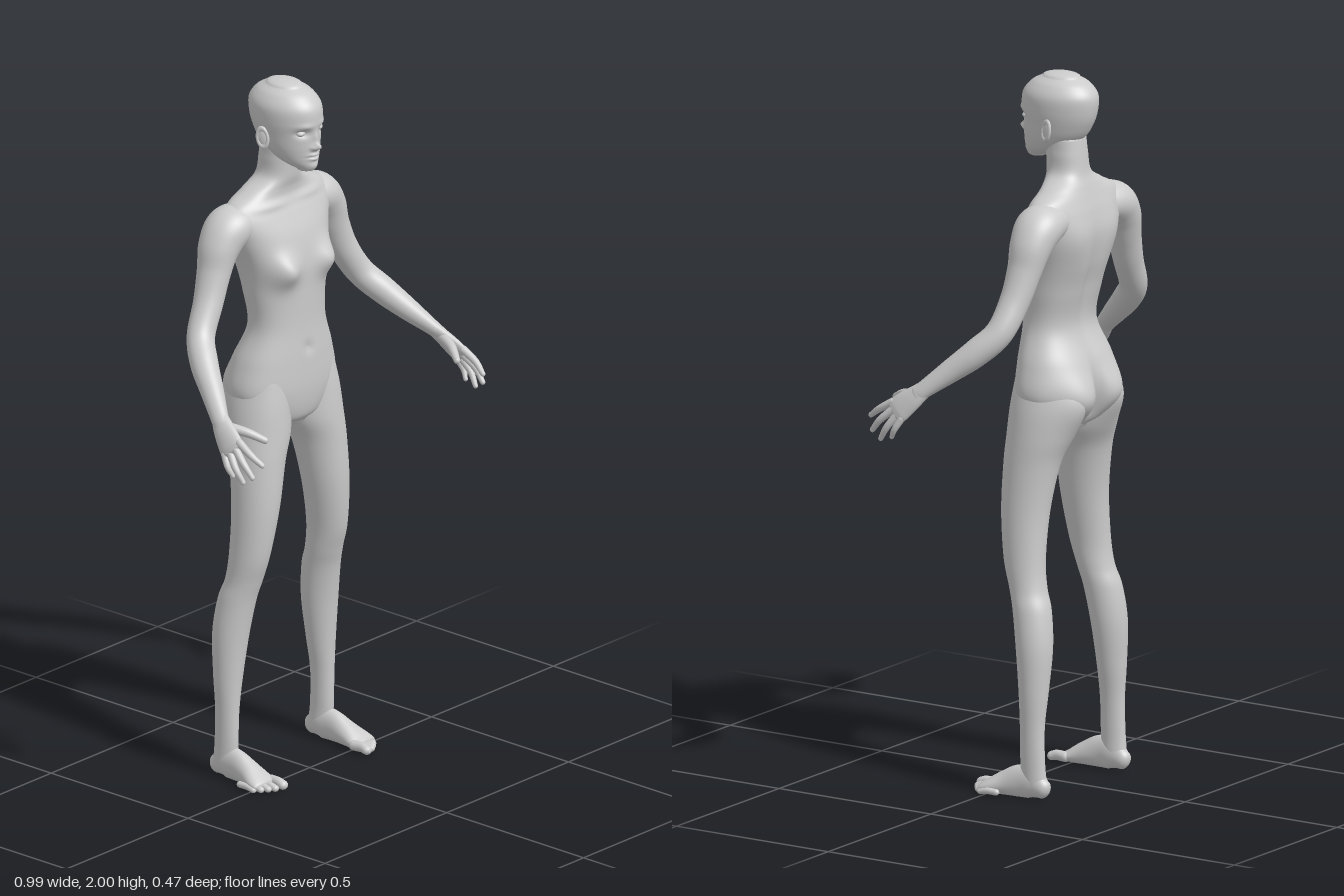
import * as THREE from 'three';
import { mergeVertices } from 'three/addons/utils/BufferGeometryUtils.js';

const skin = new THREE.MeshStandardMaterial({ color: 0xcccccc, roughness: 0.8 });
const X = new THREE.Vector3(1, 0, 0), Y = new THREE.Vector3(0, 1, 0), Z = new THREE.Vector3(0, 0, 1);

// Smooth skin over sections [x, y, z, radius along ref, radius across], with domed ends.
// level keeps every section horizontal (list those from the bottom up).
function loft(stations, { ref = X, level = false, segs = 24, steps = 6, power = 2, caps = [1, 1], sculpt } = {}) {
  const curve = (f) => new THREE.CatmullRomCurve3(stations.map(f), false, 'catmullrom', 0.5);
  const centre = curve((s) => new THREE.Vector3(s[0], s[1], s[2]));
  const radii = curve((s) => new THREE.Vector3(s[3], s[4], 0));
  const rings = [], n = (stations.length - 1) * steps, domeSteps = 6;
  const ring = (t, angle, dir) => {
    const r = radii.getPoint(t), T = level ? Y : centre.getTangent(t);
    const height = Math.min(r.x, r.y) * caps[dir > 0 ? 1 : 0];
    const c = centre.getPoint(t).addScaledVector(T, dir * height * Math.sin(angle));
    rings.push({ c, T, r: r.multiplyScalar(Math.max(0, Math.cos(angle))) });
  };
  for (let i = domeSteps; i > 0; i--) ring(0, (i / domeSteps) * Math.PI / 2, -1);
  for (let i = 0; i <= n; i++) ring(i / n, 0, 0);
  for (let i = 1; i <= domeSteps; i++) ring(1, (i / domeSteps) * Math.PI / 2, 1);

  const pos = [], index = [];
  const round = (v) => Math.sign(v) * Math.abs(v) ** (2 / power);
  rings.forEach(({ c, T, r }, i) => {
    const u = ref.clone().addScaledVector(T, -T.dot(ref)).normalize();
    const v = T.clone().cross(u);
    for (let j = 0; j < segs; j++) {
      const a = (j / segs) * Math.PI * 2;
      const p = c.clone().addScaledVector(u, r.x * round(Math.cos(a))).addScaledVector(v, r.y * round(Math.sin(a)));
      if (sculpt) sculpt(p);
      pos.push(p.x, p.y, p.z);
      if (i === 0) continue;
      const k = (j + 1) % segs, lo = (i - 1) * segs, hi = i * segs;
      index.push(lo + j, lo + k, hi + j, lo + k, hi + k, hi + j);
    }
  });
  let geo = new THREE.BufferGeometry();
  geo.setAttribute('position', new THREE.Float32BufferAttribute(pos, 3));
  geo.setIndex(index);
  geo = mergeVertices(geo, 1e-5);
  geo.computeVertexNormals();
  return geo;
}

// Soft bumps [x, y, z, reach x, reach y, reach z, push in z], alike on both sides
const bumps = (list) => (p) => {
  let dz = 0;
  for (const [x, y, z, rx, ry, rz, push] of list) {
    dz += push * Math.exp(-(((Math.abs(p.x) - x) / rx) ** 2) - ((p.y - y) / ry) ** 2 - ((p.z - z) / rz) ** 2);
  }
  p.z += dz;
};

function mirrored(geo) {
  const g = geo.clone().scale(-1, 1, 1), idx = g.index.array;
  for (let i = 0; i < idx.length; i += 3) [idx[i], idx[i + 1]] = [idx[i + 1], idx[i]];
  g.computeVertexNormals();
  return g;
}

export function createModel() {
  const model = new THREE.Group();
  model.name = 'figure';
  const add = (name, geo) => {
    const mesh = new THREE.Mesh(geo, skin);
    mesh.name = name;
    model.add(mesh);
  };
  const addPair = (name, geo) => {
    add('left' + name, geo);
    add('right' + name, mirrored(geo));
  };

  const bodyShape = bumps([
    [0.088, 1.475, -0.01, 0.045, 0.045, 0.06, 0.036],  // breasts
    [0.08, 1.095, -0.2, 0.07, 0.08, 0.07, -0.036],     // buttocks
    [0, 1.08, -0.21, 0.018, 0.08, 0.06, 0.035],        // cleft
    [0, 1.4, -0.2, 0.025, 0.17, 0.06, 0.014],          // spine
    [0.09, 1.55, -0.2, 0.05, 0.07, 0.05, -0.008],      // shoulder blades
    [0, 1.235, 0, 0.012, 0.014, 0.05, -0.008],         // navel
    [0.08, 1.655, -0.06, 0.07, 0.012, 0.04, 0.006],    // collarbones
  ]);

  // Torso and neck
  add('torso', loft([
    [0, 1.01, -0.095, 0.06, 0.06],
    [0, 1.04, -0.097, 0.125, 0.085],
    [0, 1.11, -0.104, 0.178, 0.104],
    [0, 1.2, -0.1, 0.162, 0.1],
    [0, 1.3, -0.086, 0.125, 0.081],
    [0, 1.4, -0.095, 0.13, 0.09],
    [0, 1.48, -0.106, 0.143, 0.1],
    [0, 1.56, -0.118, 0.17, 0.097],
    [0, 1.62, -0.126, 0.192, 0.08],
    [0, 1.66, -0.13, 0.175, 0.064],
    [0, 1.69, -0.126, 0.118, 0.058],
    [0, 1.725, -0.116, 0.064, 0.056],
    [0, 1.78, -0.11, 0.056, 0.055],
    [0, 1.82, -0.105, 0.055, 0.055],
  ], { level: true, segs: 80, steps: 9, power: 2.25, caps: [0.3, 0.2], sculpt: bodyShape }));

  // Head with a sculpted face
  add('head', loft([
    [0, 1.762, -0.016, 0.026, 0.026],
    [0, 1.785, -0.045, 0.051, 0.062],
    [0, 1.82, -0.07, 0.068, 0.09],
    [0, 1.86, -0.083, 0.077, 0.104],
    [0, 1.9, -0.087, 0.083, 0.113],
    [0, 1.94, -0.09, 0.082, 0.111],
    [0, 1.97, -0.092, 0.065, 0.088],
    [0, 1.988, -0.093, 0.042, 0.056],
  ], {
    level: true, segs: 112, steps: 12, caps: [0.35, 0.29],
    sculpt: bumps([
      [0, 1.832, 0.022, 0.01, 0.011, 0.05, 0.021],     // nose tip
      [0, 1.855, 0.022, 0.009, 0.018, 0.05, 0.009],    // nose bridge
      [0.012, 1.828, 0.02, 0.006, 0.006, 0.05, 0.007], // nostrils
      [0.036, 1.873, 0.01, 0.017, 0.011, 0.05, -0.012],// eye sockets
      [0.036, 1.894, 0.015, 0.022, 0.009, 0.05, 0.004],// brows
      [0, 1.807, 0.02, 0.018, 0.005, 0.05, 0.007],     // upper lip
      [0, 1.795, 0.02, 0.015, 0.005, 0.05, 0.008],     // lower lip
      [0, 1.8015, 0.02, 0.022, 0.002, 0.05, -0.005],   // mouth line
      [0, 1.77, 0.01, 0.022, 0.014, 0.04, 0.008],      // chin
    ]),
  }));
  addPair('Eye', new THREE.SphereGeometry(0.012, 24, 16).scale(1.15, 0.7, 1).translate(0.036, 1.873, -0.002));

  // Ears: a rim around a shallow bowl
  const placeEar = (g) => g.rotateY(Math.PI / 2 - 0.35).rotateX(-0.15).translate(0.084, 1.85, -0.098);
  addPair('EarRim', placeEar(new THREE.TorusGeometry(0.016, 0.005, 10, 28).scale(0.95, 1.6, 1)));
  addPair('EarBowl', placeEar(new THREE.SphereGeometry(0.016, 20, 12).scale(0.9, 1.5, 0.3)));

  // Legs
  addPair('Leg', loft([
    [0.195, 0.04, -0.135, 0.026, 0.038],
    [0.196, 0.1, -0.13, 0.026, 0.037],
    [0.195, 0.2, -0.128, 0.03, 0.036],
    [0.19, 0.3, -0.129, 0.041, 0.042],
    [0.182, 0.42, -0.126, 0.052, 0.051],
    [0.172, 0.52, -0.112, 0.053, 0.054],
    [0.164, 0.58, -0.094, 0.051, 0.053],
    [0.158, 0.66, -0.078, 0.053, 0.06],
    [0.143, 0.79, -0.071, 0.063, 0.069],
    [0.126, 0.92, -0.08, 0.074, 0.08],
    [0.108, 1.0, -0.093, 0.087, 0.092],
    [0.1, 1.08, -0.1, 0.085, 0.094],
    [0.088, 1.16, -0.1, 0.078, 0.085],
  ], { level: true, segs: 48, steps: 7, caps: [0.3, 0.5], sculpt: bodyShape }));

  // Feet: flat-soled, with five toes
  const flatSole = (p) => { p.y = Math.max(p.y, 0); };
  addPair('Foot', loft([
    [0.195, 0.028, -0.164, 0.022, 0.027],
    [0.195, 0.042, -0.13, 0.027, 0.046],
    [0.197, 0.042, -0.09, 0.028, 0.046],
    [0.199, 0.032, -0.045, 0.034, 0.035],
    [0.203, 0.021, -0.005, 0.043, 0.023],
    [0.203, 0.016, 0.015, 0.044, 0.016],
  ], { segs: 36, caps: [0.85, 0.7], sculpt: flatSole }));
  [[0.172, 0.07, 0.0145], [0.197, 0.06, 0.0105], [0.214, 0.049, 0.01], [0.23, 0.036, 0.0095], [0.244, 0.02, 0.009]]
    .forEach(([x, tip, r], i) => addPair('Toe' + (i + 1), loft([
      [x - 0.002, r + 0.003, tip - 0.06, r, r],
      [x, r + 0.004, tip - 0.032, r * 0.9, r],
      [x, r, tip - r, r, r * 0.9],
    ], { segs: 16, sculpt: flatSole })));

  // Arms, from inside the shoulder to the wrist
  addPair('Arm', loft([
    [0.11, 1.61, -0.135, 0.06, 0.05],
    [0.175, 1.603, -0.138, 0.068, 0.06],
    [0.217, 1.56, -0.138, 0.06, 0.055],
    [0.243, 1.495, -0.134, 0.049, 0.045],
    [0.277, 1.415, -0.125, 0.042, 0.041],
    [0.326, 1.335, -0.108, 0.039, 0.039],
    [0.366, 1.28, -0.06, 0.039, 0.038],
    [0.402, 1.228, 0.0, 0.033, 0.031],
    [0.44, 1.175, 0.062, 0.026, 0.02],
    [0.449, 1.158, 0.08, 0.027, 0.018],
  ], { ref: Z, segs: 40, steps: 8, caps: [0.5, 0.5] }));

  // Hands: palm, four fingers and thumb
  addPair('Palm', loft([
    [0.44, 1.175, 0.062, 0.025, 0.018],
    [0.455, 1.145, 0.095, 0.034, 0.017],
    [0.466, 1.118, 0.125, 0.039, 0.015],
    [0.47, 1.108, 0.136, 0.037, 0.012],
  ], { ref: Z, segs: 32, caps: [0.5, 0.8] }));
  const digits = {
    Index: [[0.46, 1.131, 0.152], [0.462, 1.106, 0.195], [0.453, 1.082, 0.229], 0.0105],
    Middle: [[0.466, 1.117, 0.14], [0.476, 1.081, 0.182], [0.473, 1.047, 0.211], 0.0105],
    Ring: [[0.472, 1.104, 0.127], [0.482, 1.063, 0.158], [0.477, 1.027, 0.181], 0.01],
    Little: [[0.477, 1.092, 0.113], [0.484, 1.061, 0.131], [0.478, 1.037, 0.144], 0.009],
    Thumb: [[0.444, 1.157, 0.09], [0.421, 1.148, 0.143], [0.394, 1.128, 0.187], 0.0135],
  };
  for (const [name, [base, mid, tip, r]] of Object.entries(digits)) {
    addPair(name + (name === 'Thumb' ? '' : 'Finger'), loft([
      [...base, r * 1.15, r * 1.1], [...mid, r * 0.95, r * 0.95], [...tip, r * 0.72, r * 0.68],
    ], { ref: Y, segs: 16 }));
  }

  return model;
}
